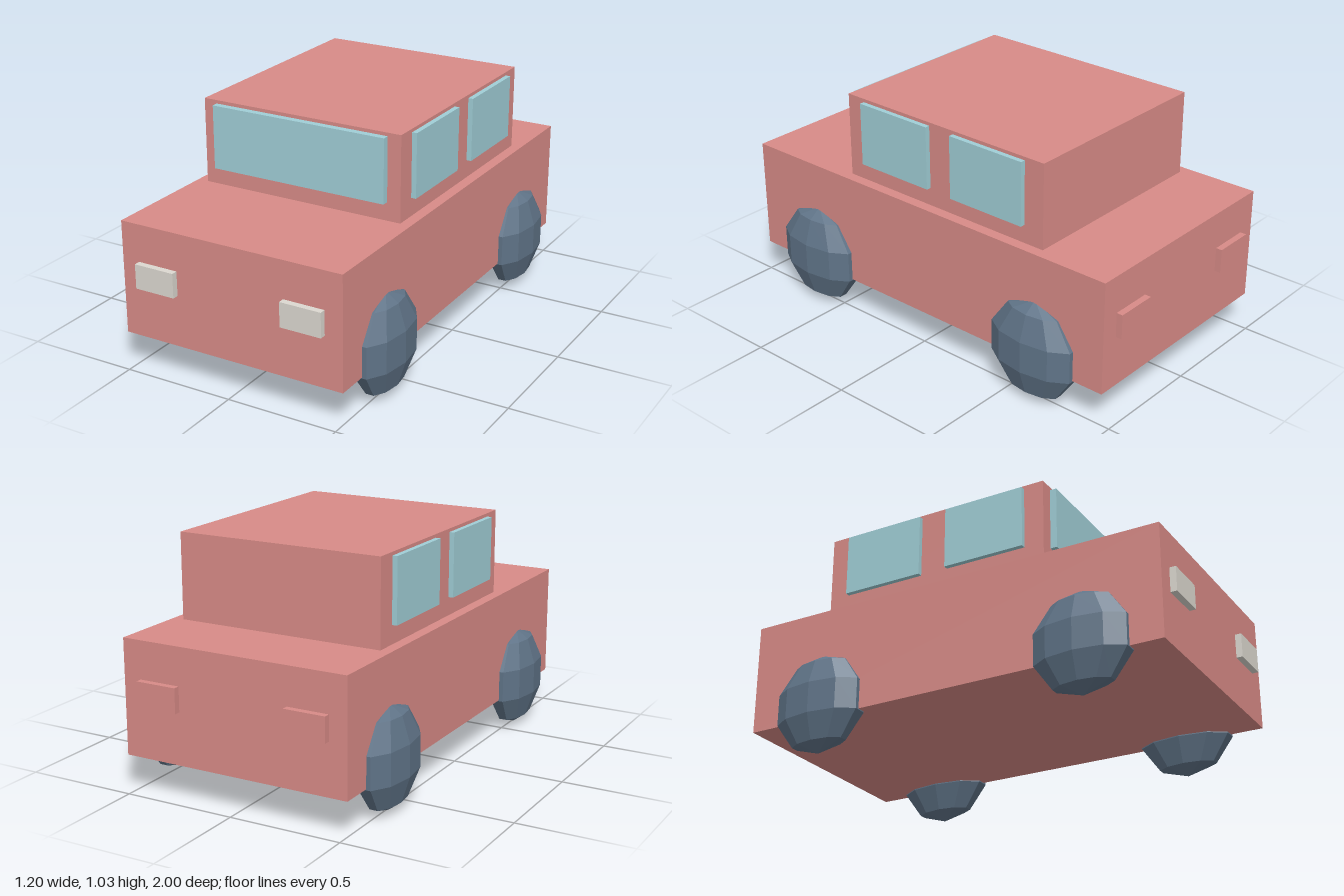
import * as THREE from 'three';

export function createModel() {
  const car = new THREE.Group();
  car.name = 'car';

  const material = (color) => new THREE.MeshStandardMaterial({ color, flatShading: true });
  const paint = material(0xd88b87);
  const glass = material(0xa0ced6);
  const lamp = material(0xdcd8d0);
  const rubber = material(0x607488);

  // Box given by its extents along each axis
  function box(name, mat, [x0, x1], [y0, y1], [z0, z1]) {
    const mesh = new THREE.Mesh(new THREE.BoxGeometry(x1 - x0, y1 - y0, z1 - z0), mat);
    mesh.position.set((x0 + x1) / 2, (y0 + y1) / 2, (z0 + z1) / 2);
    mesh.name = name;
    car.add(mesh);
  }

  // Body and cabin
  box('body', paint, [-0.518, 0.518], [0.16, 0.66], [-0.972, 0.972]);
  box('cabin', paint, [-0.47, 0.47], [0.66, 1.035], [-0.628, 0.438]);

  // Windscreen
  const glassY = [0.74, 1.02];
  box('windscreen', glass, [-0.409, 0.409], glassY, [0.41, 0.468]);

  // Flattened low-poly ball for the wheels
  const wheelGeometry = new THREE.SphereGeometry(0.225, 10, 5);
  wheelGeometry.scale(0.44, 1, 1);

  for (const [side, s] of [['left', 1], ['right', -1]]) {
    const span = (a, b) => (s > 0 ? [a, b] : [-b, -a]);

    // Side windows
    box(side + 'FrontWindow', glass, span(0.45, 0.492), glassY, [-0.028, 0.348]);
    box(side + 'RearWindow', glass, span(0.45, 0.492), glassY, [-0.533, -0.157]);

    // Lights
    box(side + 'Headlight', lamp, span(0.252, 0.438), [0.387, 0.495], [0.95, 1]);
    box(side + 'TailLight', paint, span(0.252, 0.438), [0.387, 0.495], [-1, -0.95]);

    // Wheels
    for (const [end, z] of [['Front', 0.623], ['Rear', -0.623]]) {
      const wheel = new THREE.Mesh(wheelGeometry, rubber);
      wheel.position.set(s * 0.508, 0.225, z);
      wheel.name = side + end + 'Wheel';
      car.add(wheel);
    }
  }
  return car;
}
